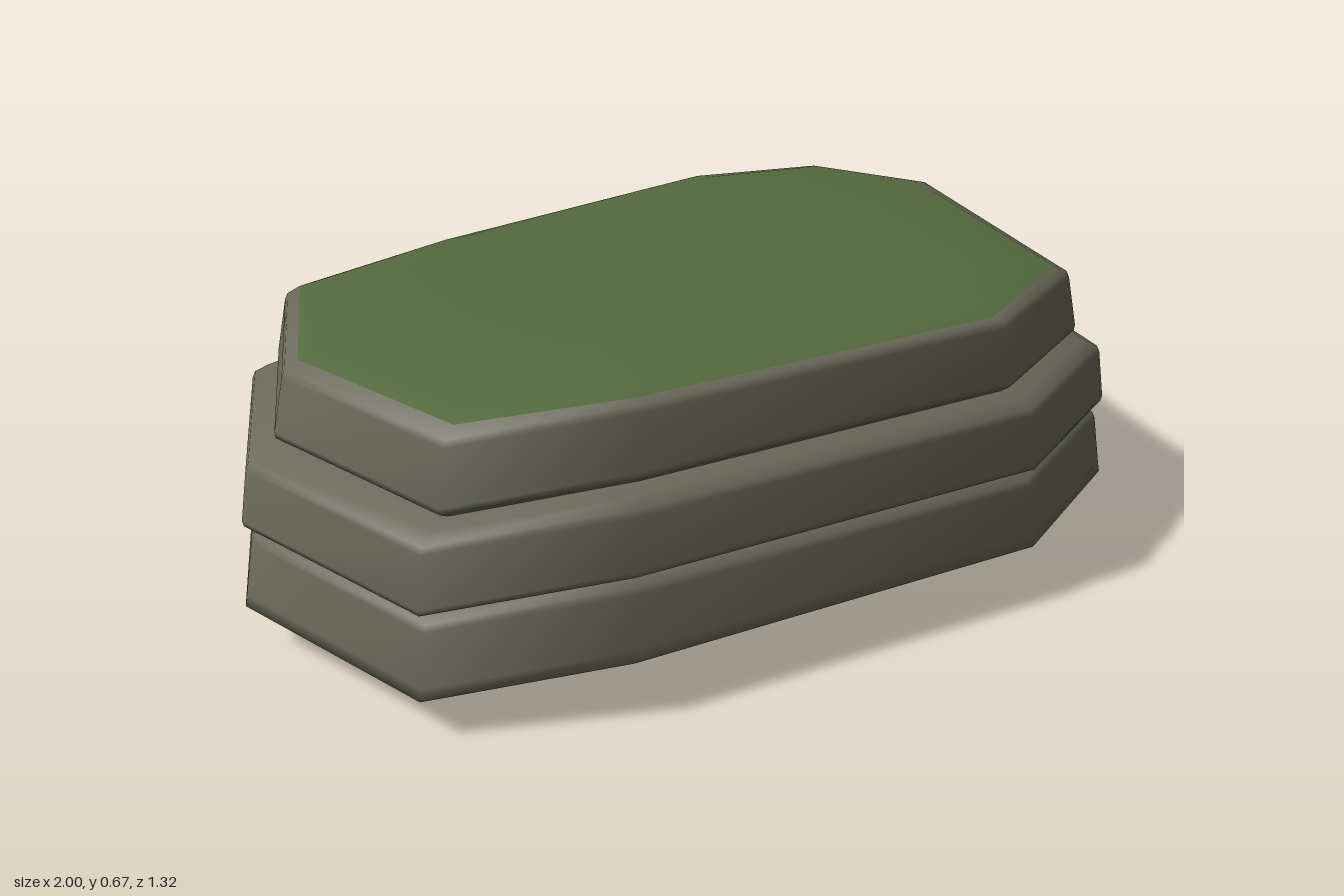
import * as THREE from 'three';

// Irregular ten-sided outline: x, z and the height of the lower edge at each corner
const OUTLINE = [
  [-0.80, -0.57, 0.11], [-0.35, -0.62, 0.13], [0.51, -0.66, 0.14], [0.88, -0.57, 0.125],
  [0.995, -0.23, 0.145], [0.87, 0.45, 0.12], [0.45, 0.655, 0.148], [-0.49, 0.535, 0.14],
  [-0.86, 0.355, 0.095], [-1.0, -0.14, 0.11],
];
const TOP = 0.67;
const RIM = 0.505;

// Ring kinds: each returns the corners of one cross-section
const bottomRing = (s, t) => OUTLINE.map(([x, z, y]) => [x * s, THREE.MathUtils.lerp((y - 0.095) * 0.7, y, t), z * s]);
const sideRing = (s, h) => OUTLINE.map(([x, z, y]) => [x * s, y + h, z * s]);
const topRing = (s, t) => OUTLINE.map(([x, z, y]) => [x * s, THREE.MathUtils.lerp(y + RIM, TOP, t), z * s]);

// Skin a stack of rings, bottom to top, with smooth normals
function skin(rings) {
  const n = OUTLINE.length;
  const index = [];
  for (let r = 0; r < rings.length - 1; r++) {
    for (let i = 0; i < n; i++) {
      const a = r * n + i, b = r * n + (i + 1) % n;
      index.push(b, a, a + n, b, a + n, b + n);
    }
  }
  const geometry = new THREE.BufferGeometry();
  geometry.setAttribute('position', new THREE.Float32BufferAttribute(rings.flat(2), 3));
  geometry.setIndex(index);
  geometry.computeVertexNormals();
  return geometry;
}

export function createModel() {
  const stone = new THREE.MeshStandardMaterial({ color: 0x6a695a });
  stone.name = 'stone';
  const grass = new THREE.MeshStandardMaterial({ color: 0x546a3e });
  grass.name = 'grass';
  const group = new THREE.Group();
  group.name = 'layeredRock';

  const add = (name, material, rings) => {
    const mesh = new THREE.Mesh(skin(rings), material);
    mesh.name = name;
    group.add(mesh);
  };

  // Lower layer with its tapered underside
  add('lowerLayer', stone, [
    bottomRing(0.001, 0), bottomRing(0.66, 0), bottomRing(0.7, 0.03), bottomRing(0.97, 0.9),
    sideRing(1, 0), sideRing(0.995, 0.025), sideRing(0.975, 0.14), sideRing(0.968, 0.155), sideRing(0.94, 0.17),
  ]);
  // Middle layer
  add('middleLayer', stone, [
    sideRing(0.94, 0.168), sideRing(0.985, 0.183), sideRing(0.988, 0.195),
    sideRing(0.97, 0.305), sideRing(0.963, 0.32), sideRing(0.93, 0.337), sideRing(0.88, 0.35),
  ]);
  // Upper layer, ending in a bevelled rim
  add('upperLayer', stone, [
    sideRing(0.87, 0.345), sideRing(0.903, 0.362), sideRing(0.905, 0.375),
    sideRing(0.88, 0.49), sideRing(0.873, RIM), topRing(0.845, 0.3),
  ]);
  // Gently domed grass surface
  add('grassTop', grass, [
    topRing(0.845, 0.3), topRing(0.8, 0.55), topRing(0.65, 0.9), topRing(0.4, 1), topRing(0.001, 1),
  ]);
  return group;
}
